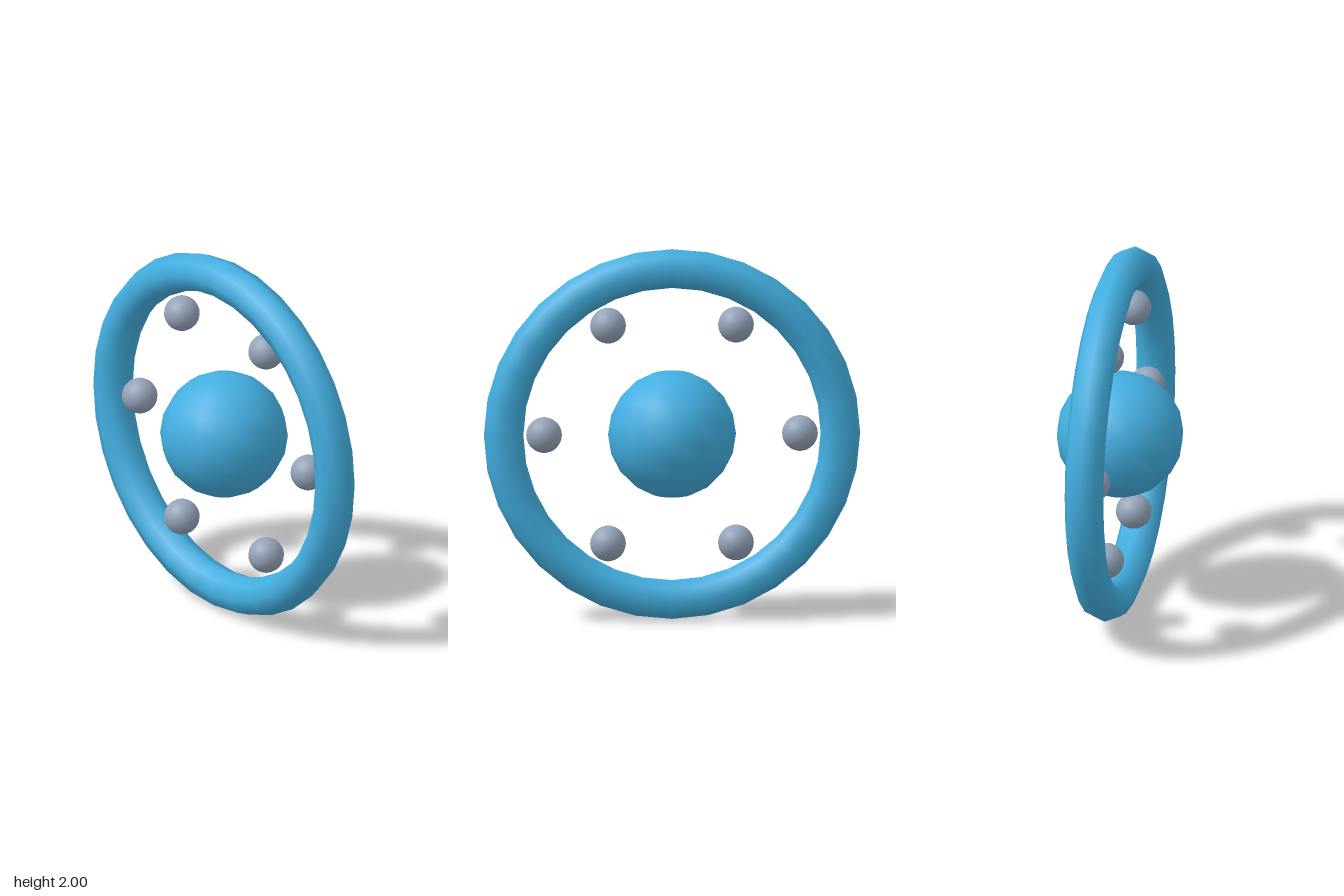
import * as THREE from 'three';

export function createModel() {
  const model = new THREE.Group();
  const blue = new THREE.MeshStandardMaterial({ color: 0x42aee0 });
  const slate = new THREE.MeshStandardMaterial({ color: 0x94a3b8 });

  function add(name, geometry, material, x, y) {
    const mesh = new THREE.Mesh(geometry, material);
    mesh.name = name;
    mesh.position.set(x, y, 0);
    model.add(mesh);
  }

  // Upright outer ring and the ball at its centre
  add('outerRing', new THREE.TorusGeometry(0.895, 0.105, 8, 32), blue, 0, 1);
  add('centreBall', new THREE.SphereGeometry(0.34, 16, 10), blue, 0, 1);

  // Six small balls spaced evenly inside the ring
  const ballGeometry = new THREE.SphereGeometry(0.095, 20, 14);
  for (let i = 0; i < 6; i++) {
    const a = (i * Math.PI) / 3;
    add('smallBall' + (i + 1), ballGeometry, slate, 0.68 * Math.cos(a), 1 + 0.68 * Math.sin(a));
  }

  return model;
}
